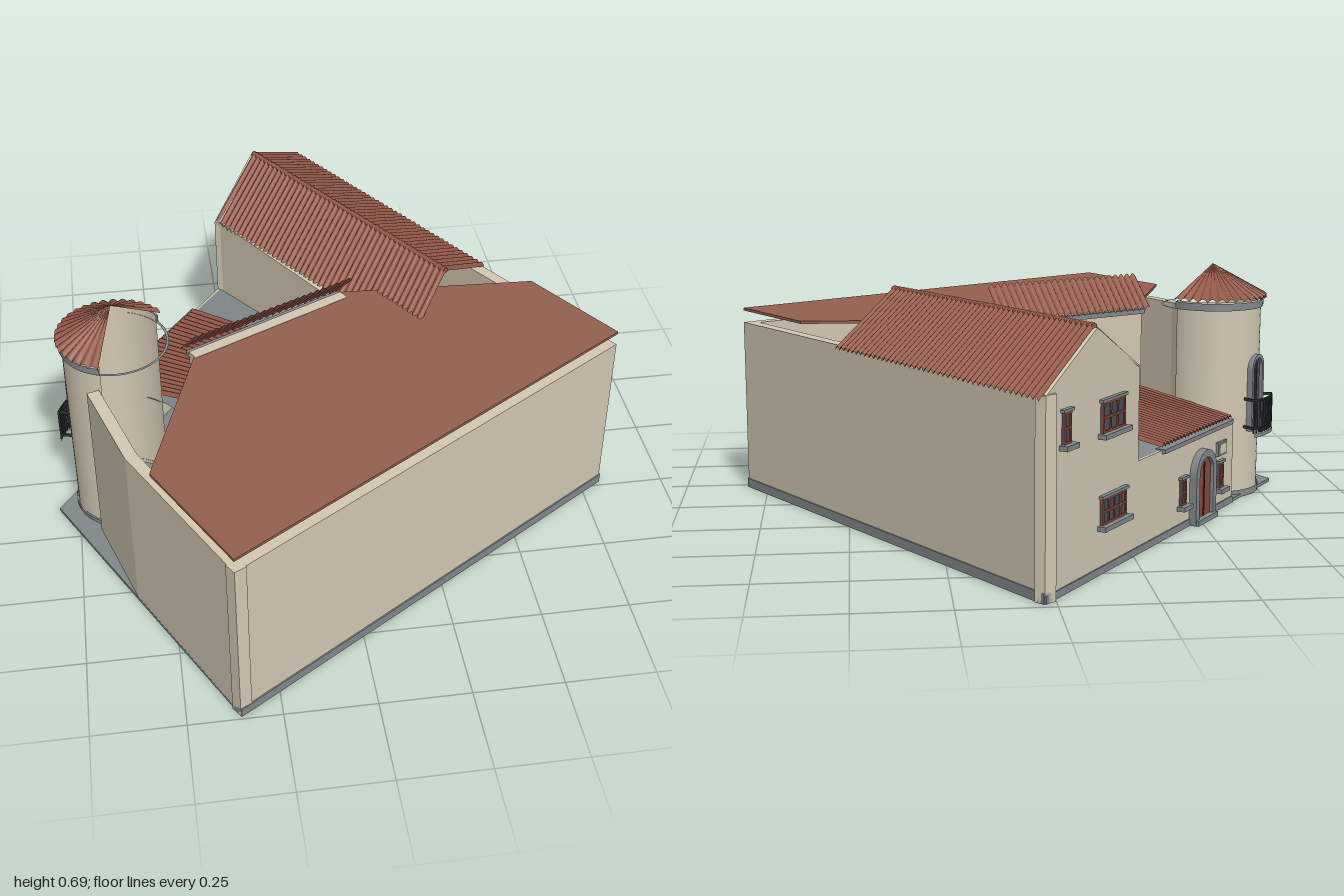
import * as THREE from 'three';

const mat = (name, color, side = THREE.FrontSide) => {
  const m = new THREE.MeshStandardMaterial({ color, side });
  m.name = name;
  return m;
};
const V = (x, y, z) => new THREE.Vector3(x, y, z);

export function createModel() {
  const model = new THREE.Group();
  model.name = 'courtyardHouse';
  const plaster = mat('plaster', 0xd2c8b2, THREE.DoubleSide);
  const stone = mat('stone', 0x82888a, THREE.DoubleSide);
  const tile = mat('tile', 0x96594a, THREE.DoubleSide);
  const flatTile = mat('flatTile', 0x935f4f);
  const wood = mat('wood', 0x8a4a3a);
  const glass = mat('glass', 0x4a5058);
  const iron = mat('iron', 0x33383c, THREE.DoubleSide);

  const add = (name, geo, material, parent = model) => {
    const m = new THREE.Mesh(geo, material);
    m.name = name;
    parent.add(m);
    return m;
  };
  const box = (name, w, h, d, x, y, z, material, parent) =>
    add(name, new THREE.BoxGeometry(w, h, d), material, parent).position.set(x, y, z);

  // Group whose x runs from a to b along the ground and whose z points outward
  const frame = (name, a, b) => {
    const g = new THREE.Group();
    const dx = b[0] - a[0], dz = b[1] - a[1];
    g.name = name;
    g.position.set(a[0], 0, a[1]);
    g.rotation.y = Math.atan2(-dz, dx);
    g.userData.length = Math.hypot(dx, dz);
    model.add(g);
    return g;
  };
  const wall = (name, a, b, h, plinth, t = 0.035) => {
    const g = frame(name, a, b), l = g.userData.length;
    box('wallPanel', l, h, t, l / 2, h / 2, -t / 2, plaster, g);
    if (plinth) box('plinth', l, 0.027, t, l / 2, 0.0135, -t / 2 + 0.004, stone, g);
    return g;
  };
  // Horizontal slab from a plan outline
  const slab = (name, pts, y, h, material) => {
    const s = new THREE.Shape(pts.map(([x, z]) => new THREE.Vector2(x, -z)));
    const geo = new THREE.ExtrudeGeometry(s, { depth: h, bevelEnabled: false });
    add(name, geo.rotateX(-Math.PI / 2), material).position.y = y;
  };
  // Ribbed barrel-tile surface over f(u, v), ribs running along v
  const ribbed = (name, n, f, taper = 0) => {
    const pos = [], idx = [], cols = n * 6, rows = 6;
    for (let j = 0; j <= rows; j++) for (let i = 0; i <= cols; i++) {
      const u = i / cols, v = j / rows, p = f(u, v);
      p.y += 0.011 * Math.abs(Math.sin(Math.PI * n * u)) * (1 - taper * v);
      pos.push(p.x, p.y, p.z);
      if (i < cols && j < rows) {
        const k = j * (cols + 1) + i, m = k + cols + 1;
        idx.push(k, k + 1, m, k + 1, m + 1, m);
      }
    }
    const geo = new THREE.BufferGeometry();
    geo.setAttribute('position', new THREE.Float32BufferAttribute(pos, 3));
    geo.setIndex(idx);
    geo.computeVertexNormals();
    return add(name, geo, tile);
  };
  const slope = (name, n, a, b, c, d) =>
    ribbed(name, n, (u, v) => a.clone().lerp(b, u).lerp(c.clone().lerp(d, u), v));

  const archPath = (P, w, h, y0 = 0) => {
    const r = w / 2, p = new P();
    p.moveTo(-r, y0);
    p.lineTo(r, y0);
    p.lineTo(r, h - r);
    p.absarc(0, h - r, r, 0, Math.PI, false);
    p.lineTo(-r, y0);
    return p;
  };
  const extrude = (s, depth) => new THREE.ExtrudeGeometry(s, { depth, bevelEnabled: false, curveSegments: 12 });
  const arch = (g, x, y, z, w, h, rim, inner) => {
    const s = archPath(THREE.Shape, w, h);
    s.holes.push(archPath(THREE.Path, w - 2 * rim, h - rim, 0.002));
    add('archSurround', extrude(s, 0.022), stone, g).position.set(x, y, z);
    add('archPanel', extrude(archPath(THREE.Shape, w - 2 * rim, h - rim), 0.012), inner, g).position.set(x, y, z);
  };
  const windowAt = (g, x, y, w, h, panes) => {
    const win = new THREE.Group();
    win.name = 'window';
    win.position.set(x, y, 0);
    g.add(win);
    box('pane', w, h, 0.006, 0, 0, 0.003, glass, win);
    for (let i = 0; i <= panes; i++) box('mullion', 0.007, h, 0.008, (i / panes - 0.5) * (w - 0.007), 0, 0.005, wood, win);
    for (const k of [-0.5, 0, 0.5]) box('rail', w, 0.006, 0.008, 0, k * (h - 0.006), 0.005, wood, win);
    box('sill', w + 0.025, 0.013, 0.024, 0, -h / 2 - 0.006, 0.012, stone, win);
    box('lintel', w + 0.015, 0.008, 0.012, 0, h / 2 + 0.004, 0.006, stone, win);
  };

  // Ground and perimeter walls
  const tip = [0.03, -0.98], east = [0.81, 0.23], south = [-0.36, 0.99], west = [-0.81, 0.13];
  slab('groundSlab', [tip, east, south, west], 0, 0.01, stone);
  wall('frontWall', south, east, 0.515, true);
  wall('sideWall', east, tip, 0.515, true);
  wall('patioWall', [-0.69, 0.24], [-0.6, 0.53], 0.515, false);
  wall('patioWallFront', [-0.6, 0.53], south, 0.515, false);
  wall('wingInnerWall', [-0.255, -0.595], [0.06, -0.08], 0.515, false);

  // Street side: gabled wing, then the low entrance block
  const street = frame('streetFacade', tip, west);
  const gable = new THREE.Shape([[0, 0], [0.485, 0], [0.485, 0.512], [0.252, 0.642], [0, 0.512]]
    .map(([x, y]) => new THREE.Vector2(x, y)));
  add('gableWall', extrude(gable, 0.03), plaster, street).position.z = -0.03;
  box('entranceWall', 0.62, 0.255, 0.03, 0.79, 0.1275, -0.015, plaster, street);
  box('streetPlinth', 1.1, 0.02, 0.03, 0.55, 0.01, -0.011, stone, street);
  box('entranceEave', 0.45, 0.012, 0.03, 0.85, 0.252, -0.004, stone, street);
  windowAt(street, 0.094, 0.42, 0.035, 0.08, 1);
  windowAt(street, 0.333, 0.41, 0.12, 0.08, 3);
  windowAt(street, 0.34, 0.165, 0.13, 0.07, 4);
  windowAt(street, 0.755, 0.11, 0.03, 0.075, 1);
  windowAt(street, 1.006, 0.105, 0.03, 0.075, 1);
  arch(street, 0.874, 0, 0, 0.135, 0.21, 0.022, wood);
  box('doorSeam', 0.004, 0.165, 0.004, 0.874, 0.09, 0.013, iron, street);
  box('doorStep', 0.13, 0.015, 0.03, 0.874, 0.0075, 0.015, stone, street);
  box('plaque', 0.06, 0.042, 0.008, 1.01, 0.185, 0.004, stone, street);
  box('plaquePanel', 0.048, 0.03, 0.004, 1.01, 0.185, 0.009, plaster, street);

  // Courtyard wall behind the entrance roof
  const court = wall('courtyardWall', [0.06, -0.08], [-0.4, 0.15], 0.56, false);
  windowAt(court, 0.187, 0.39, 0.024, 0.075, 1);
  windowAt(court, 0.345, 0.395, 0.12, 0.075, 4);
  box('courtyardEave', 0.515, 0.015, 0.02, 0.257, 0.545, 0.008, stone, court);

  // Stone deck under the entrance roof
  const deck = new THREE.BufferGeometry();
  deck.setAttribute('position', new THREE.Float32BufferAttribute([
    -0.255, 0.255, -0.59, 0.06, 0.305, -0.08, -0.4, 0.305, 0.15, -0.47, 0.28, 0.02, -0.62, 0.255, -0.12], 3));
  deck.setIndex([0, 2, 1, 0, 3, 2, 0, 4, 3]);
  deck.computeVertexNormals();
  add('entranceDeck', deck, stone);

  // Roofs
  slab('flatRoof', [east, south, [-0.54, 0.65], [-0.39, 0.18], [0.07, -0.08], [0.63, -0.055]], 0.551, 0.008, flatTile);
  const r0 = V(-0.115, 0.645, -0.775), r1 = V(0.36, 0.645, -0.02);
  slope('wingRoofOuter', 42, V(0.05, 0.505, -1), V(0.53, 0.505, -0.23), r0, r1);
  slope('wingRoofInner', 42, V(-0.262, 0.505, -0.6), V(0.225, 0.505, 0.145), r0, r1);
  const ridge = add('wingRidge', new THREE.CylinderGeometry(0.009, 0.009, r0.distanceTo(r1), 8), tile);
  ridge.position.copy(r0).lerp(r1, 0.5);
  ridge.quaternion.setFromUnitVectors(V(0, 1, 0), r1.clone().sub(r0).normalize());
  slope('entranceRoof', 22, V(-0.35, 0.262, -0.475), V(-0.625, 0.262, -0.12), V(0.03, 0.325, -0.095), V(-0.36, 0.325, 0.095));
  slope('courtyardRoof', 24, V(-0.425, 0.55, 0.125), V(0.05, 0.55, -0.095), V(-0.39, 0.642, 0.21), V(0.085, 0.642, -0.016));

  // Round tower, open toward the patio
  const tower = new THREE.Group();
  tower.name = 'tower';
  tower.position.set(-0.605, 0, 0.09);
  tower.rotation.y = Math.atan2(-0.797, -0.604);
  model.add(tower);
  const half = 1.92;
  const band = (name, r, y0, y1, material, a = half) => {
    add(name, new THREE.CylinderGeometry(r, r, y1 - y0, 36, 1, true, -a, 2 * a), material, tower).position.y = (y0 + y1) / 2;
  };
  const ledge = (name, ri, ro, y, material, a = half) => {
    const g = new THREE.RingGeometry(ri, ro, 36, 1, -Math.PI / 2 - a, 2 * a).rotateX(-Math.PI / 2).rotateY(Math.PI);
    add(name, g, material, tower).position.y = y;
  };
  band('towerWall', 0.147, 0, 0.595, plaster);
  band('towerBase', 0.152, 0, 0.022, stone);
  ledge('towerBaseTop', 0.146, 0.152, 0.022, stone);
  band('towerCornice', 0.154, 0.57, 0.592, stone);
  ledge('towerCorniceUnderside', 0.146, 0.154, 0.57, stone);
  const cone = ribbed('towerRoof', 22, (u, v) => {
    const t = (u * 2 - 1) * half, r = 0.163 * (1 - v);
    return V(Math.sin(t) * r, 0.595 + 0.1 * v, Math.cos(t) * r);
  }, 1);
  tower.add(cone);
  arch(tower, 0, 0.2, 0.136, 0.085, 0.23, 0.012, glass);
  box('windowBar', 0.005, 0.2, 0.006, 0, 0.31, 0.15, iron, tower);

  // Balcony
  const span = 0.36, rb = 0.187;
  ledge('balconyFloor', 0.14, rb + 0.004, 0.2, stone, span);
  ledge('balconyUnderside', 0.14, rb + 0.004, 0.188, stone, span);
  band('balconyEdge', rb + 0.004, 0.188, 0.2, stone, span);
  for (const y of [0.215, 0.3]) {
    band('balconyRail', rb, y - 0.004, y + 0.004, iron, span);
    for (const s of [-1, 1]) {
      const bar = add('balconySideRail', new THREE.BoxGeometry(0.006, 0.008, 0.045), iron, tower);
      bar.position.set(s * Math.sin(span) * 0.166, y, Math.cos(span) * 0.166);
      bar.rotation.y = s * span;
    }
  }
  for (let i = 0; i <= 10; i++) {
    const t = (i / 5 - 1) * span;
    box('baluster', 0.005, 0.1, 0.005, Math.sin(t) * rb, 0.25, Math.cos(t) * rb, iron, tower);
  }
  return model;
}
